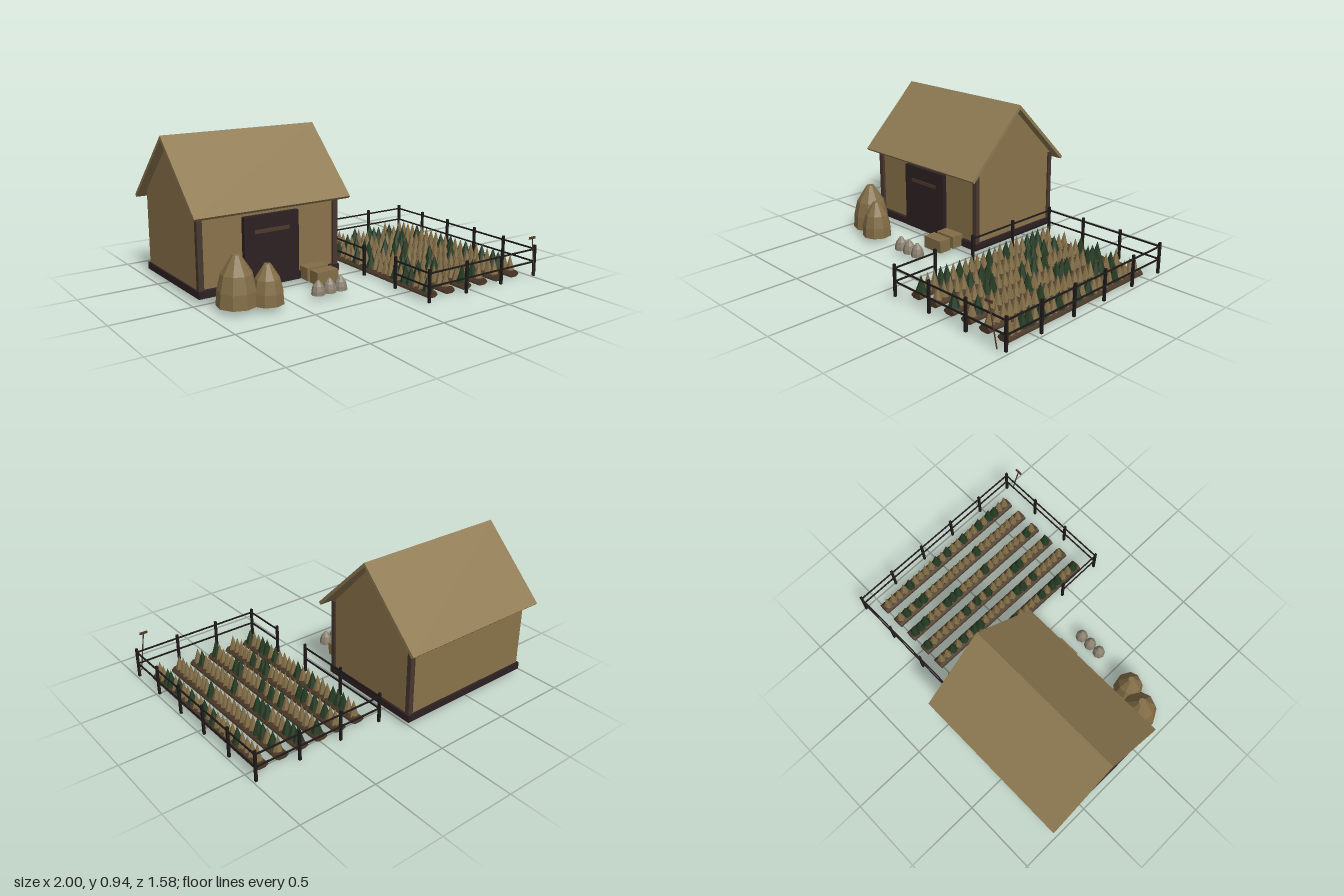
import * as THREE from 'three';

const mat = (name, color, side = THREE.FrontSide) => {
  const m = new THREE.MeshStandardMaterial({ color, side, flatShading: true });
  m.name = name;
  return m;
};

// extrude a [z, y] outline along x from x0 to x1
function extrudeX(outline, x0, x1) {
  const shape = new THREE.Shape(outline.map(([z, y]) => new THREE.Vector2(z, y)));
  const g = new THREE.ExtrudeGeometry(shape, { depth: x1 - x0, bevelEnabled: false });
  return g.rotateY(-Math.PI / 2).translate(x1, 0, 0);
}

// box from minimum and maximum corners
function span(x0, x1, y0, y1, z0, z1) {
  return new THREE.BoxGeometry(x1 - x0, y1 - y0, z1 - z0)
    .translate((x0 + x1) / 2, (y0 + y1) / 2, (z0 + z1) / 2);
}

// faceted heap: steep sides with a pointed crown
function heap(r, h, sides) {
  const pts = [[0, 0], [1, 0], [0.95, 0.3], [0.76, 0.63], [0.2, 1], [0, 1]];
  return new THREE.LatheGeometry(pts.map(([a, b]) => new THREE.Vector2(a * r, b * h)), sides);
}

export function createModel() {
  const root = new THREE.Group();
  root.name = 'farmstead';
  const thatch = mat('thatch', 0x8f7a52);
  const wall = mat('clayWall', 0x8a734a);
  const straw = mat('straw', 0x826d46);
  const darkWood = mat('darkWood', 0x2d2123);
  const postWood = mat('postWood', 0x48382f);
  const barWood = mat('barWood', 0x503a2b);
  const fenceWood = mat('fenceWood', 0x1f1a1a);
  const soil = mat('soil', 0x4a3828);
  const leaf = mat('greenLeaf', 0x243a22);
  const sackCloth = mat('sackCloth', 0x8d8372);

  const group = (name) => {
    const g = new THREE.Group();
    g.name = name;
    root.add(g);
    return g;
  };
  const add = (parent, name, geo, material, x = 0, y = 0, z = 0) => {
    const m = new THREE.Mesh(geo, material);
    m.name = name;
    m.position.set(x, y, z);
    parent.add(m);
    return m;
  };

  // barn: plinth, gabled body, corner posts, door
  const barn = group('barn');
  add(barn, 'plinth', span(-0.96, 0.015, 0.035, 0.08, -0.736, -0.004), darkWood);
  add(barn, 'walls', extrudeX(
    [[-0.03, 0.08], [-0.03, 0.55], [-0.362, 0.905], [-0.722, 0.55], [-0.722, 0.08]].reverse(), -0.95, 0), wall);
  for (const [x, z] of [[-0.938, -0.027], [-0.006, -0.027], [-0.006, -0.714]])
    add(barn, 'cornerPost', new THREE.BoxGeometry(0.034, 0.47, 0.03), postWood, x, 0.315, z);
  add(barn, 'door', span(-0.66, -0.285, 0.036, 0.475, -0.032, 0), darkWood);
  add(barn, 'doorBar', span(-0.59, -0.355, 0.367, 0.39, -0.002, 0.005), barWood);

  // roof: two slabs meeting at the ridge
  add(barn, 'frontRoof', extrudeX(
    [[-0.36, 0.94], [-0.36, 0.912], [0.045, 0.51], [0.06, 0.525]], -1, 0.055), thatch);
  add(barn, 'backRoof', extrudeX(
    [[-0.36, 0.94], [-0.79, 0.517], [-0.775, 0.502], [-0.36, 0.912]], -1, 0.055), thatch);

  // haystacks, sacks and bales in front of the barn
  const yard = group('yard');
  add(yard, 'largeHaystack', heap(0.122, 0.293, 9), straw, -0.815, 0.035, 0.185);
  add(yard, 'smallHaystack', heap(0.097, 0.232, 9), straw, -0.66, 0.035, 0.26);
  for (const x of [-0.35, -0.27, -0.192])
    add(yard, 'sack', heap(0.042, 0.085, 8), sackCloth, x, 0.035, 0.306);
  for (const z of [0.027, 0.137])
    add(yard, 'bale', new THREE.BoxGeometry(0.152, 0.08, 0.086), straw, -0.193, 0.075, z);

  // raised beds planted with rows of pointed crops
  const field = group('field');
  const bedShape = new THREE.Shape([[-0.022, 0.002], [0.022, 0.002], [0.042, 0.014], [0.038, 0.026],
    [0.022, 0.042], [-0.022, 0.042], [-0.038, 0.026], [-0.042, 0.014]].map(([x, y]) => new THREE.Vector2(x, y)));
  const bedGeo = new THREE.ExtrudeGeometry(bedShape, { depth: 1.18, bevelEnabled: false });
  const cropGeo = new THREE.ConeGeometry(0.03, 0.115, 6).translate(0, 0.0575, 0);
  const leafGeo = new THREE.ConeGeometry(0.036, 0.118, 6).translate(0, 0.059, 0);
  let seed = 11;
  const rand = () => (seed = (seed * 16807) % 2147483647) / 2147483647;
  for (const x of [0.212, 0.35, 0.486, 0.622, 0.76, 0.897]) {
    add(field, 'bed', bedGeo, soil, x, 0, -0.515);
    for (let i = 0; i < 23; i++) {
      const green = rand() < 0.4;
      const plant = add(field, green ? 'greenCrop' : 'ripeCrop', green ? leafGeo : cropGeo,
        green ? leaf : straw, x + (rand() - 0.5) * 0.006, 0.036, 0.625 - i * 0.05);
      plant.rotation.y = rand() * Math.PI;
      plant.scale.y = 0.88 + rand() * 0.12;
    }
  }

  // fence: posts and two rails, with a gateway on the barn side
  const fence = group('fence');
  const X0 = 0.12, X1 = 0.99, Z0 = -0.595, Z1 = 0.743;
  const postAt = (x, z) =>
    add(fence, 'fencePost', new THREE.BoxGeometry(0.015, 0.2, 0.015), fenceWood, x, 0.115, z);
  const rails = (x0, x1, z0, z1) => {
    for (const y of [0.108, 0.19])
      add(fence, 'rail', new THREE.BoxGeometry(x1 - x0 + 0.008, 0.009, z1 - z0 + 0.008), fenceWood,
        (x0 + x1) / 2, y, (z0 + z1) / 2);
  };
  for (const z of [Z0, Z1]) {
    for (let i = 0; i < 4; i++) postAt(X0 + (i * (X1 - X0)) / 3, z);
    rails(X0, X1, z, z);
  }
  for (let i = 1; i < 5; i++) postAt(X1, Z0 + (i * (Z1 - Z0)) / 5);
  rails(X1, X1, Z0, Z1);
  for (const z of [-0.235, 0.125, 0.435]) postAt(X0, z);
  rails(X0, X0, Z0, 0.125);
  rails(X0, X0, 0.435, Z1);

  // hoe leaning on the front fence
  const hoe = group('hoe');
  const path = new THREE.LineCurve3(new THREE.Vector3(0.958, 0.03, 0.775), new THREE.Vector3(0.912, 0.28, 0.787));
  add(hoe, 'hoeHandle', new THREE.TubeGeometry(path, 1, 0.004, 6), barWood);
  add(hoe, 'hoeHead', new THREE.BoxGeometry(0.05, 0.014, 0.01), barWood, 0.91, 0.284, 0.787);

  return root;
}
